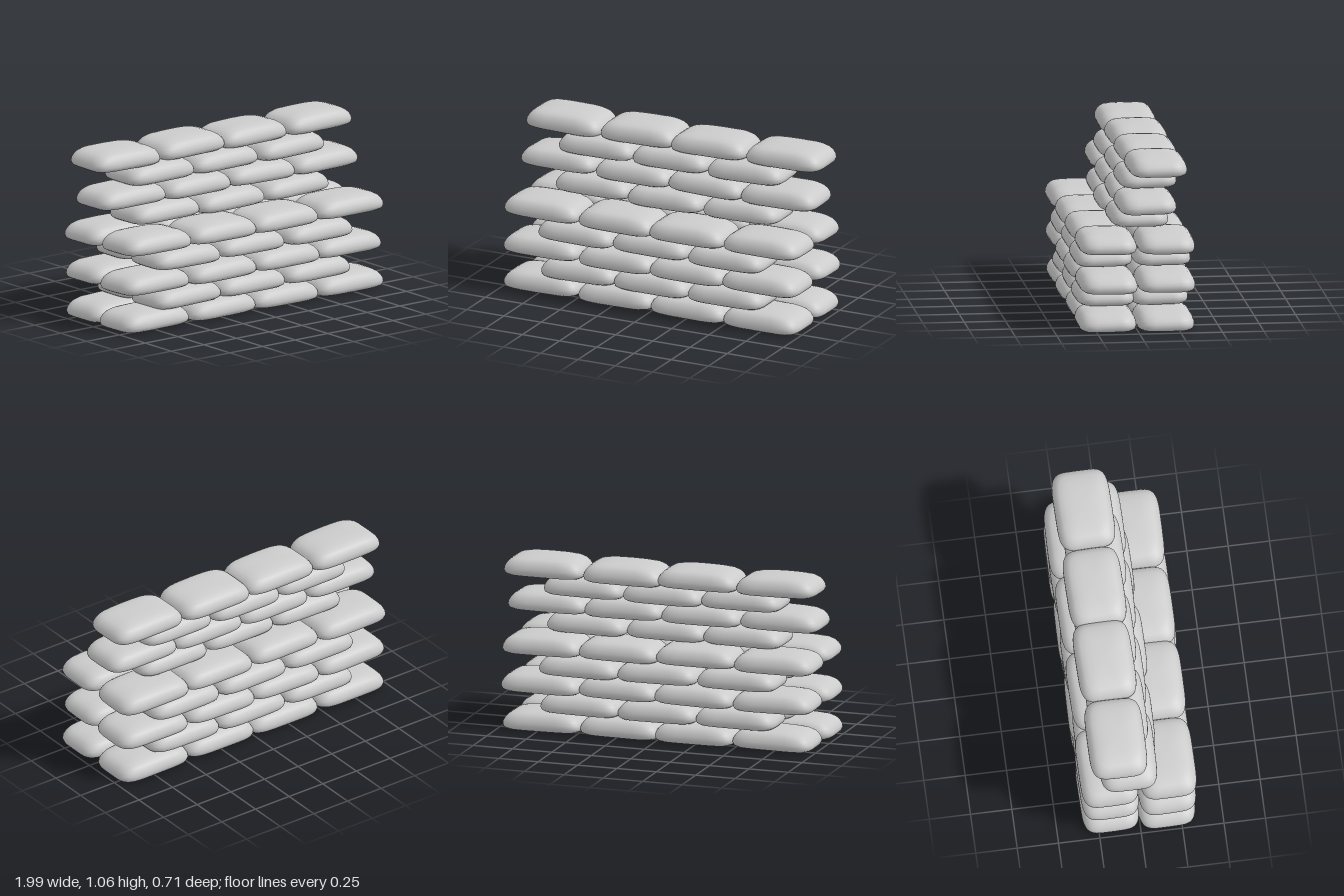
import * as THREE from 'three';

// Small seeded generator: values in -1..1
let seed = 7;
function jitter(amount) {
  seed = (seed * 16807) % 2147483647;
  return (seed / 2147483647 * 2 - 1) * amount;
}

// Sandbag profile from flat underside to soft top: [inset from the outline, height]
const PROFILE = [
  [0.1, 0], [0.045, 0], [0.02, 0.004], [0.006, 0.014], [0, 0.032], [0.002, 0.052],
  [0.01, 0.073], [0.023, 0.092], [0.041, 0.105], [0.07, 0.113], [0.11, 0.117],
];
const SIDES = 48;

// Stacked rounded-rectangle rings, closed with a point below and above
function sandbagGeometry(halfLength, halfDepth) {
  const points = [0, 0, 0];
  const index = [];
  const lastRing = PROFILE.length - 1;
  PROFILE.forEach(([inset, y]) => {
    // the short ends slope in a little more towards the top
    const a = halfLength - inset * (y > 0.05 ? 1.3 : 1);
    const b = halfDepth - inset;
    for (let i = 0; i < SIDES; i++) {
      const t = (i / SIDES) * Math.PI * 2;
      const c = Math.cos(t), s = Math.sin(t);
      const x = Math.sign(c) * Math.abs(c) ** 0.42 * a;
      const z = Math.sign(s) * Math.abs(s) ** 0.42 * b;
      const sag = 0.012 * (x / halfLength) ** 2 * (y / 0.117);
      points.push(x, y - sag, z);
    }
  });
  points.push(0, 0.119, 0);
  const top = points.length / 3 - 1;
  const at = (ring, i) => 1 + ring * SIDES + (i % SIDES);
  for (let i = 0; i < SIDES; i++) {
    index.push(0, at(0, i), at(0, i + 1));
    for (let r = 0; r < lastRing; r++) {
      index.push(at(r, i), at(r + 1, i), at(r, i + 1));
      index.push(at(r, i + 1), at(r + 1, i), at(r + 1, i + 1));
    }
    index.push(at(lastRing, i), top, at(lastRing, i + 1));
  }
  const geometry = new THREE.BufferGeometry();
  geometry.setAttribute('position', new THREE.Float32BufferAttribute(points, 3));
  geometry.setIndex(index);
  geometry.computeVertexNormals();
  return geometry;
}

export function createModel() {
  const wall = new THREE.Group();
  wall.name = 'sandbagWall';
  const material = new THREE.MeshStandardMaterial({ color: 0xcccccc });
  const bag = sandbagGeometry(0.252, 0.174);

  // Courses alternate four and three bags in a running bond
  const fourBags = [-0.735, -0.235, 0.24, 0.735];
  const threeBags = [-0.5, -0.005, 0.495];

  // Base of each course and the depth positions of its rows:
  // double thickness below, a single row leaning back above
  const courses = [
    [0.015, [0.17, -0.174]],
    [0.13, [0.164, -0.168]],
    [0.248, [0.176, -0.176]],
    [0.368, [0.17, -0.17]],
    [0.488, [0.172, -0.172]],
    [0.606, [-0.035]],
    [0.727, [-0.06]],
    [0.84, [-0.094]],
    [0.951, [-0.127]],
  ];

  courses.forEach(([y, rows], level) => {
    const course = new THREE.Group();
    course.name = `course${level + 1}`;
    rows.forEach((z) => {
      (level % 2 ? threeBags : fourBags).forEach((x) => {
        const mesh = new THREE.Mesh(bag, material);
        mesh.name = 'sandbag';
        mesh.position.set(x + jitter(0.008), y + jitter(0.004), z + jitter(0.007));
        mesh.rotation.set(jitter(0.015), jitter(0.02), jitter(0.015));
        course.add(mesh);
      });
    });
    wall.add(course);
  });
  return wall;
}
